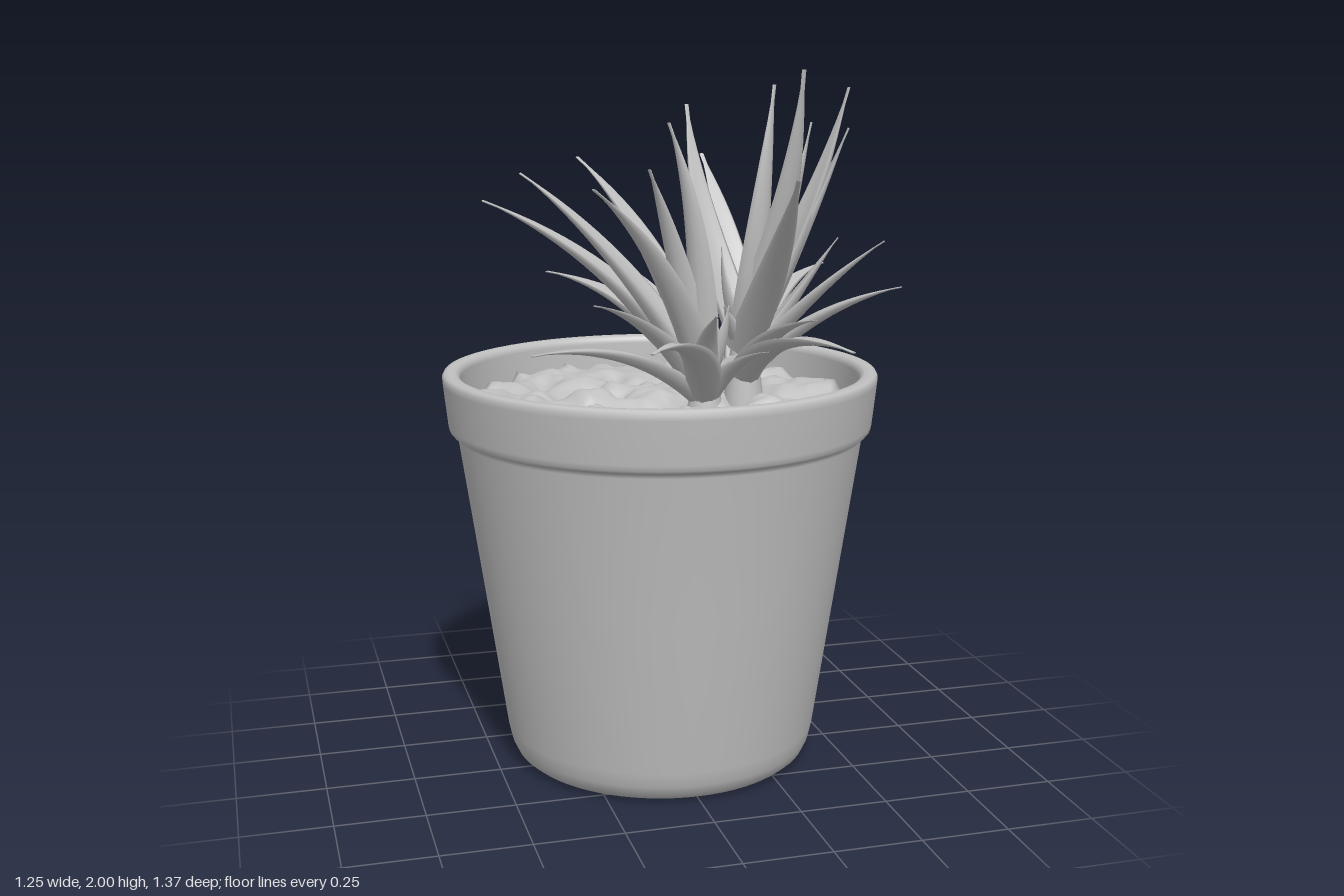
import * as THREE from 'three';

const V = (x, y, z) => new THREE.Vector3(x, y, z);
const POT_Z = -0.065;

// Surface through closed rings of points
function ringSurface(pos, rows, cols, capEnd) {
  const idx = [];
  for (let i = 0; i < rows - 1; i++) for (let j = 0; j < cols; j++) {
    const a = i * cols + j, b = i * cols + (j + 1) % cols, c = a + cols, d = b + cols;
    idx.push(a, b, c, b, d, c);
  }
  const o = (rows - 1) * cols;
  if (capEnd) for (let j = 1; j < cols - 1; j++) idx.push(o, o + j, o + j + 1);
  const g = new THREE.BufferGeometry();
  g.setAttribute('position', new THREE.Float32BufferAttribute(pos, 3));
  g.setIndex(idx);
  g.computeVertexNormals();
  return g;
}

// Fleshy leaf: gutter-shaped section swept from base to tip.
// Low leaves arch over; uplift makes steep leaves sweep out, then up.
function leafGeometry(base, tip, uplift, sway) {
  const out = V(tip.x - base.x, 0, tip.z - base.z).normalize();
  const length = base.distanceTo(tip), steep = (tip.y - base.y) / length;
  const halfWidth = 0.035 + 0.045 * length, bow = (0.13 - uplift * steep * steep) * Math.min(1, length * 1.6);
  const side = V(0, 1, 0).cross(out).normalize();
  const ctrl = base.clone().lerp(tip, 0.5).addScaledVector(out, -0.6 * bow)
    .addScaledVector(side, sway * length).add(V(0, bow, 0));
  const curve = new THREE.QuadraticBezierCurve3(base, ctrl, tip);
  const rows = 17, cols = 12, pos = [];
  for (let i = 0; i < rows; i++) {
    const t = i / (rows - 1), p = curve.getPoint(t);
    const up = curve.getTangent(t).cross(side).normalize();
    const w = halfWidth * Math.max(0.1, (0.85 + 0.8 * t) * Math.pow(1 - t, 1.05));
    for (let j = 0; j < cols; j++) {
      const a = j / cols * Math.PI * 2, c = Math.cos(a), s = Math.sin(a);
      const h = (s > 0 ? 0.15 : 0.6) * s + 0.45 * c * c * (1 - t);
      const q = p.clone().addScaledVector(side, c * w).addScaledVector(up, h * w);
      pos.push(q.x, q.y, q.z);
    }
  }
  return ringSurface(pos, rows, cols, true);
}

// Smooth value noise on a seeded lattice
function hash(i, j) {
  const s = Math.sin(i * 127.1 + j * 311.7) * 43758.5453;
  return s - Math.floor(s);
}
function noise(x, z) {
  const i = Math.floor(x), j = Math.floor(z), mix = THREE.MathUtils.lerp;
  const u = THREE.MathUtils.smoothstep(x - i, 0, 1), v = THREE.MathUtils.smoothstep(z - j, 0, 1);
  return mix(mix(hash(i, j), hash(i + 1, j), u), mix(hash(i, j + 1), hash(i + 1, j + 1), u), v);
}

// Lumpy soil disc with a ragged, sunken edge
function soilGeometry() {
  const rows = 36, cols = 110, pos = [];
  for (let i = 0; i < rows; i++) for (let j = 0; j < cols; j++) {
    const r = 0.572 * i / (rows - 1), a = j / cols * Math.PI * 2;
    const x = r * Math.cos(a), z = r * Math.sin(a);
    const fine = noise(x * 18 + 50, z * 18 + 50);
    const lump = Math.abs(noise(x * 8 + 20, z * 8 + 20) - 0.5) * 0.1 + fine * 0.045;
    const edge = THREE.MathUtils.smoothstep(r, 0.49 + 0.07 * fine, 0.572) * 0.08;
    pos.push(x, 1.035 + lump - edge, z);
  }
  return ringSurface(pos, rows, cols, false);
}

export function createModel() {
  const model = new THREE.Group();
  model.name = 'pottedSucculent';
  const grey = new THREE.MeshStandardMaterial({ color: 0xc0c0c0, side: THREE.DoubleSide });
  grey.name = 'plain grey';
  const add = (name, geo, parent) => {
    const m = new THREE.Mesh(geo, grey);
    m.name = name;
    parent.add(m);
    return m;
  };

  // Pot: separate lathes keep the edges between them crisp
  const pot = new THREE.Group();
  pot.name = 'pot';
  pot.position.z = POT_Z;
  model.add(pot);
  const lathe = (name, pts) =>
    add(name, new THREE.LatheGeometry(pts.map(([x, y]) => new THREE.Vector2(x, y)), 72), pot);
  lathe('potBase', [[0, 0.015], [0.345, 0.015]]);
  lathe('potWall', [[0.345, 0.015], [0.36, 0.003], [0.385, 0], [0.412, 0.008], [0.432, 0.025],
    [0.446, 0.055], [0.456, 0.1], [0.522, 0.55], [0.584, 0.97], [0.592, 0.983], [0.602, 0.988]]);
  lathe('rim', [[0.602, 0.988], [0.608, 0.995], [0.611, 1.01], [0.624, 1.13], [0.625, 1.145],
    [0.619, 1.155], [0.607, 1.158], [0.588, 1.156], [0.578, 1.149], [0.574, 1.135], [0.57, 0.95]]);
  add('soil', soilGeometry(), pot);

  // A rosette is a short stem with one leaf reaching to each tip and small leaves at its heart
  const rosette = (name, foot, height, uplift, tips) => {
    const group = new THREE.Group();
    group.name = name;
    model.add(group);
    const stem = add('stem', new THREE.CylinderGeometry(0.02, 0.06, height + 0.08, 14), group);
    stem.position.set(foot.x, foot.y + height / 2 - 0.04, foot.z);
    tips.forEach(([x, y, z], i) => {
      const out = V(x - foot.x, 0, z - foot.z).normalize();
      // Upright leaves start higher on the stem than spreading ones
      const rise = height * 0.6 * THREE.MathUtils.clamp((y - 1.25) / 0.7, 0, 1);
      const base = foot.clone().addScaledVector(out, 0.02).add(V(0, rise, 0));
      add('leaf', leafGeometry(base, V(x, y, z), uplift, i % 2 ? 0.06 : -0.06), group);
    });
    for (let i = 0; i < 5; i++) {
      const a = i * 2.4, out = V(Math.cos(a), 0, Math.sin(a));
      const base = foot.clone().addScaledVector(out, 0.015).add(V(0, height * (0.3 + 0.1 * i), 0));
      const tip = base.clone().addScaledVector(out, 0.11 - 0.015 * i).add(V(0, 0.1 + 0.03 * i, 0));
      add('heartLeaf', leafGeometry(base, tip, 0.2, 0), group);
    }
  };
  rosette('lowRosette', V(0.09, 1.1, 0.09), 0.12, 0.06, [
    [-0.22, 1.38, -0.6], [-0.25, 1.51, -0.47], [-0.47, 1.63, -0.28], [-0.37, 1.71, -0.22],
    [-0.19, 1.75, -0.28], [0.03, 1.39, -0.59], [-0.42, 1.25, 0.18], [-0.28, 1.7, 0.32],
    [-0.28, 1.4, 0.32], [-0.22, 1.33, 0.68], [-0.1, 1.74, 0.2], [-0.03, 1.86, 0.14],
    [0.05, 1.36, 0.33], [0.19, 1.26, 0.34]]);
  rosette('tallRosette', V(0.21, 1.14, 0.07), 0.22, 0.18, [
    [0.3, 1.46, -0.54], [0.43, 1.42, -0.52], [0.21, 1.75, -0.36], [0.6, 1.41, -0.35],
    [0.53, 1.95, 0.02], [0.61, 1.41, 0.25], [0.55, 1.54, 0.26], [0.46, 1.54, 0.14],
    [0.3, 1.31, 0.68], [0.19, 1.73, 0.56], [0.28, 1.36, 0.46], [0.29, 2, 0.31],
    [0.26, 1.96, 0.16], [0.12, 1.9, -0.21], [0.36, 1.86, 0.18], [0.5, 1.84, 0.1]]);
  return model;
}
